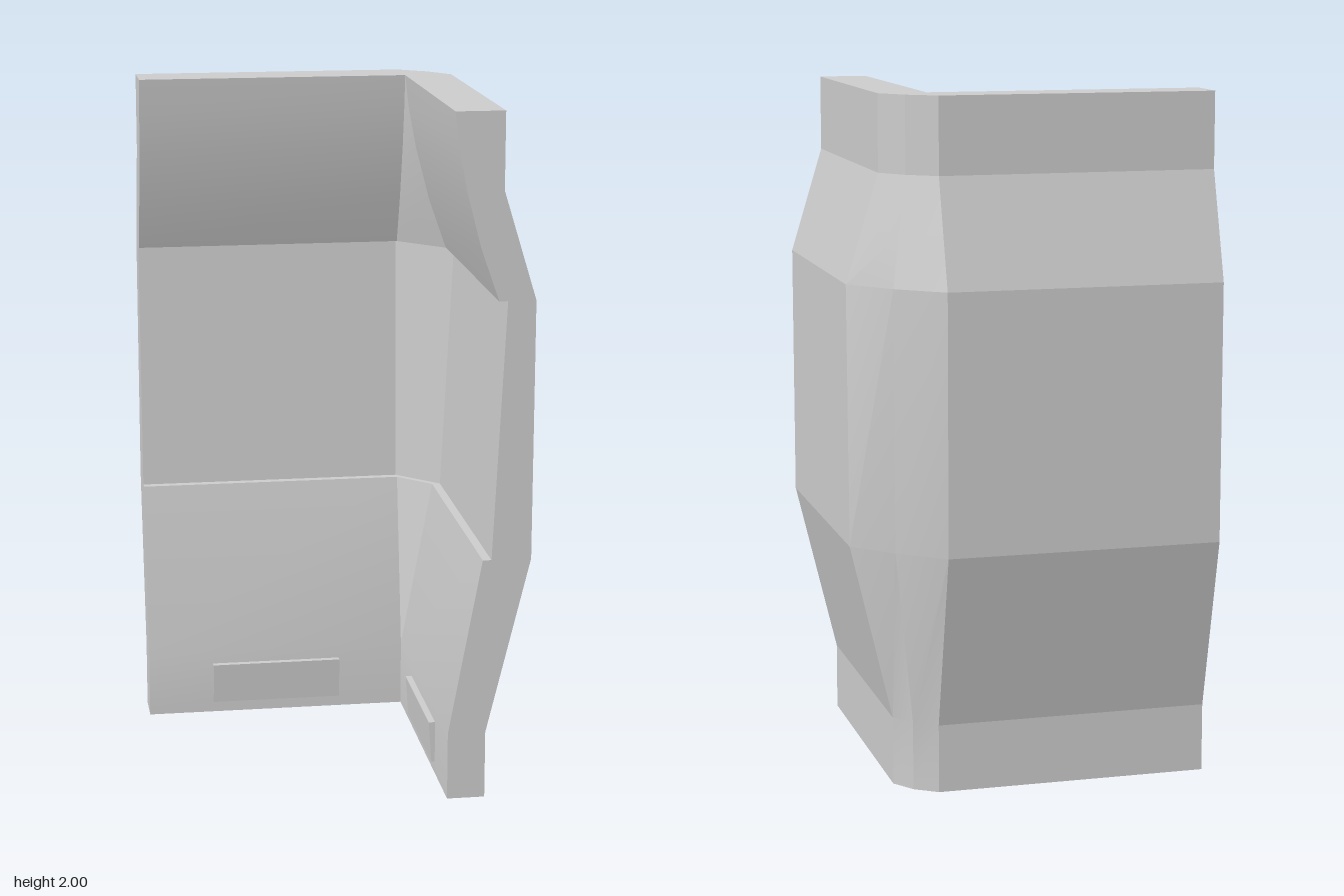
import * as THREE from 'three';
import { toCreasedNormals } from 'three/addons/utils/BufferGeometryUtils.js';

const END = 0.52;   // free end of each wing
const SEAM = 0.28;  // where each wing meets the corner facet

// Wall levels: [height, outer distance, inner distance, outer seam on the side wing]
const LEVELS = [
  [0, 0.39, 0.28, 0.28],
  [0.2, 0.39, 0.28, 0.28],
  [0.72, 0.515, 0.375, 0.295],
  [0.72, 0.515, 0.4, 0.295],   // lower lip of the recessed band
  [1.47, 0.515, 0.435, 0.28],
  [1.47, 0.515, 0.41, 0.28],   // upper lip of the recessed band
  [1.62, 0.469, 0.357, 0.28],
  [1.78, 0.42, 0.315, 0.28],
  [1.9, 0.42, 0.292, 0.28],
  [2, 0.42, 0.28, 0.28],
];

// L-shaped plan at one level: outer side first, then back along the inner side
function ring([y, o, i, seam]) {
  const m = (SEAM + o) / 2 + 0.01;
  return [
    [-END, -o], [SEAM, -o], [m, -m], [o, -seam], [o, END],
    [i, END], [i, -SEAM], [SEAM, -i], [-END, -i],
  ].map(([x, z]) => [x, y, z]);
}

function wallGeometry() {
  const rings = LEVELS.map(ring);
  const n = rings[0].length;
  const positions = [];
  const tri = (a, b, c) => positions.push(...a, ...b, ...c);

  // Sides
  for (let k = 0; k < rings.length - 1; k++) {
    const lo = rings[k], hi = rings[k + 1];
    for (let j = 0; j < n; j++) {
      const q = (j + 1) % n;
      tri(lo[j], hi[j], lo[q]);
      tri(lo[q], hi[j], hi[q]);
    }
  }

  // Bottom and top caps
  const cap = [[0, 1, 7], [0, 7, 8], [1, 2, 7], [2, 6, 7], [2, 3, 6], [3, 4, 5], [3, 5, 6]];
  const bottom = rings[0], top = rings[rings.length - 1];
  for (const [a, b, c] of cap) {
    tri(bottom[a], bottom[b], bottom[c]);
    tri(top[a], top[c], top[b]);
  }

  const geometry = new THREE.BufferGeometry();
  geometry.setAttribute('position', new THREE.Float32BufferAttribute(positions, 3));
  return toCreasedNormals(geometry, 0.2);
}

// Wedge-shaped foot plate, extruded along its wing
function plateGeometry() {
  const side = new THREE.Shape([
    new THREE.Vector2(-0.29, 0.035),
    new THREE.Vector2(-0.27, 0.035),
    new THREE.Vector2(-0.261, 0.16),
    new THREE.Vector2(-0.29, 0.16),
  ]);
  return new THREE.ExtrudeGeometry(side, { depth: 0.4, bevelEnabled: false });
}

export function createModel() {
  const model = new THREE.Group();
  model.name = 'cornerWall';
  const grey = new THREE.MeshStandardMaterial({ color: 0xcccccc });
  const add = (name, geometry) => {
    const mesh = new THREE.Mesh(geometry, grey);
    mesh.name = name;
    model.add(mesh);
    return mesh;
  };

  add('wall', wallGeometry());

  // Plate on the back wing: extrusion turned to run along x
  const backPlate = add('backPlate', plateGeometry());
  backPlate.rotation.y = -Math.PI / 2;
  backPlate.position.x = 0.08;

  // Plate on the side wing: profile mirrored to face -x
  const sidePlate = add('sidePlate', plateGeometry());
  sidePlate.rotation.y = Math.PI;
  sidePlate.position.z = 0.32;

  return model;
}
